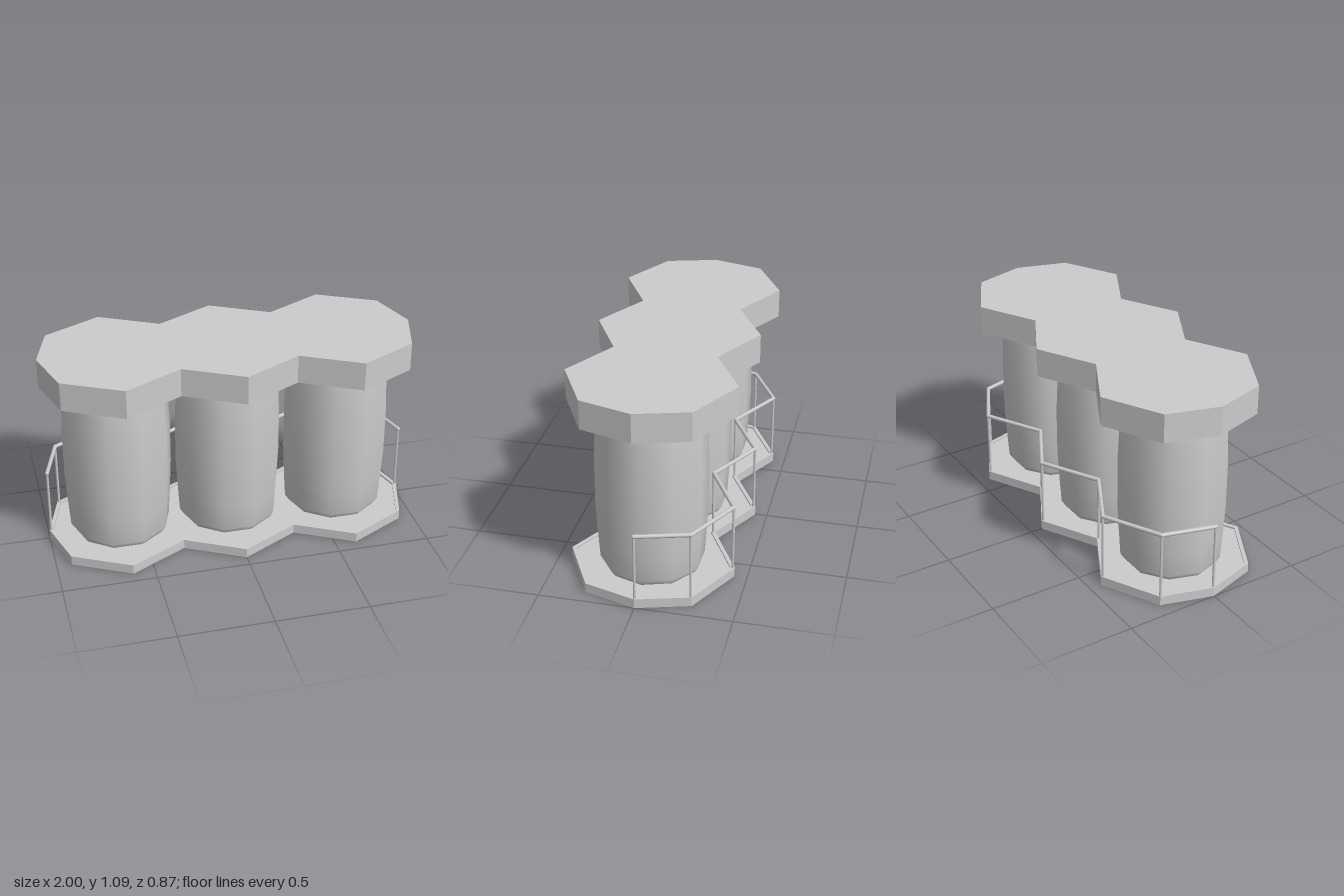
import * as THREE from 'three';

const material = new THREE.MeshStandardMaterial({ color: 0xcccccc });
const UP = new THREE.Vector3(0, 1, 0);

// Scalloped plan, counter-clockwise from the +x tip; plan y points to the back (-z)
const quarter = [[1, 0], [0.92, 0.275], [0.615, 0.435], [0.307, 0.27], [0, 0.435]];
const half = [...quarter, ...quarter.slice(0, 4).reverse().map(([x, y]) => [-x, y])];
const outline = [...half, ...half.slice(1, -1).reverse().map(([x, y]) => [x, -y])]
  .map(([x, y]) => new THREE.Vector2(x, y));

// Moves every edge of the plan inwards by d, with mitred corners
function inset(d) {
  const n = outline.length;
  return outline.map((p, i) => {
    const a = p.clone().sub(outline[(i + n - 1) % n]).normalize();
    const b = outline[(i + 1) % n].clone().sub(p).normalize();
    const na = new THREE.Vector2(-a.y, a.x), nb = new THREE.Vector2(-b.y, b.x);
    const k = d / (1 + na.dot(nb));
    return p.clone().add(na.add(nb).multiplyScalar(k));
  });
}

function add(group, name, geometry) {
  const mesh = new THREE.Mesh(geometry, material);
  mesh.name = name;
  group.add(mesh);
  return mesh;
}

// Horizontal plate between two heights, optionally a ring with a wall thickness
function plate(points, y0, y1, wall = 0) {
  const shape = new THREE.Shape(points);
  if (wall) shape.holes.push(new THREE.Path(inset(wall)));
  return new THREE.ExtrudeGeometry(shape, { depth: y1 - y0, bevelEnabled: false })
    .rotateX(-Math.PI / 2).translate(0, y0, 0);
}

function rod(group, name, a, b, radius) {
  const mesh = add(group, name, new THREE.CylinderGeometry(radius, radius, a.distanceTo(b), 8));
  mesh.position.copy(a).lerp(b, 0.5);
  mesh.quaternion.setFromUnitVectors(UP, b.clone().sub(a).normalize());
}

export function createModel() {
  const model = new THREE.Group();
  model.name = 'tripleTankStation';

  // Base platform with a low lip
  add(model, 'baseFloor', plate(outline, 0, 0.042));
  add(model, 'baseLip', plate(outline, 0.042, 0.052, 0.02));

  // Roof, hollow underneath
  add(model, 'roofSlab', plate(outline, 1.0, 1.09));
  add(model, 'roofRim', plate(outline, 0.935, 1.0, 0.02));

  // Three ten-sided barrel tanks
  const profile = [[0.25, 0.042], [0.272, 0.075], [0.281, 0.22], [0.29, 0.4], [0.29, 0.65],
    [0.281, 0.83], [0.272, 0.975], [0.25, 1.005]].map(([r, y]) => new THREE.Vector2(r, y));
  const centres = [-0.607, 0, 0.607];
  for (const x of centres) {
    add(model, 'tank', new THREE.LatheGeometry(profile, 10, Math.PI / 2)).position.x = x;
  }

  // Brackets under the roof, from each corner towards the nearest tank
  for (const p of inset(0.015)) {
    const cx = centres.reduce((a, b) => (Math.abs(b - p.x) < Math.abs(a - p.x) ? b : a));
    const dir = new THREE.Vector2(cx - p.x, -p.y);
    const length = dir.length() - 0.25;
    if (length < 0.03) continue;
    dir.normalize();
    const bracket = add(model, 'roofBracket', new THREE.BoxGeometry(length, 0.03, 0.035));
    bracket.position.set(p.x + dir.x * length / 2, 0.962, -(p.y + dir.y * length / 2));
    bracket.rotation.y = Math.atan2(dir.y, dir.x);
  }

  // Railing along the back half of the platform
  const railing = new THREE.Group();
  railing.name = 'railing';
  model.add(railing);
  const posts = inset(0.01).slice(0, half.length)
    .map((p) => new THREE.Vector3(p.x, 0.414, -p.y));
  posts.forEach((top, i) => {
    rod(railing, 'railPost', top.clone().setY(0.042), top, 0.007);
    add(railing, 'railJoint', new THREE.SphereGeometry(0.011, 8, 6)).position.copy(top);
    if (i) rod(railing, 'handrail', posts[i - 1], top, 0.011);
  });

  return model;
}
